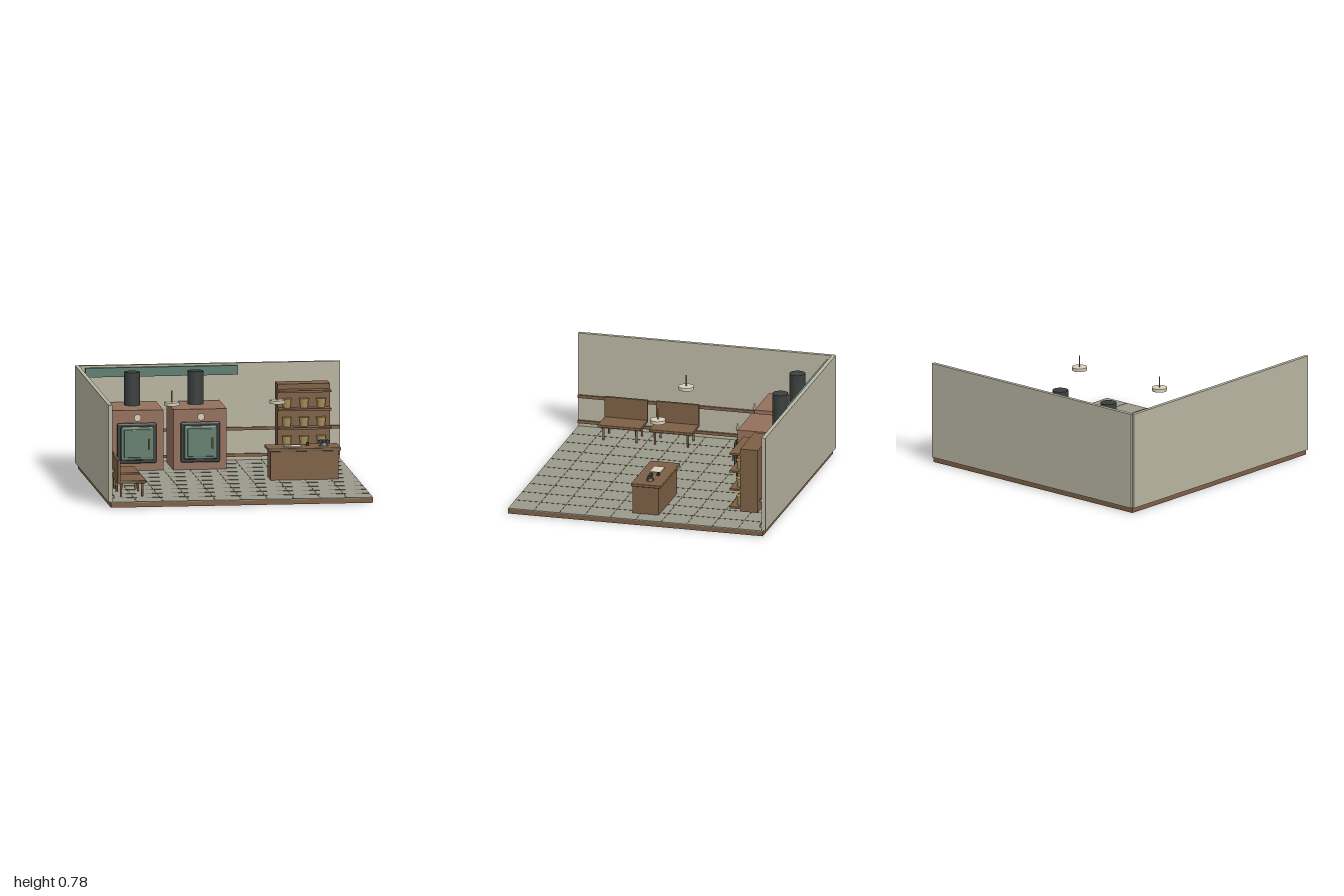
import * as THREE from 'three';
import { RoundedBoxGeometry } from 'three/addons/geometries/RoundedBoxGeometry.js';

const mat = (color) => new THREE.MeshStandardMaterial({ color });
const M = {
  wall: mat(0xb9b5a2), floor: mat(0x9a9b8c), wood: mat(0x7d5f45), grout: mat(0x6f5f4c),
  brick: mat(0x93705c), iron: mat(0x3a3f3d), green: mat(0x64806f), sign: mat(0x5f7f72),
  brass: mat(0xa88f58), cream: mat(0xd9d0b8), black: mat(0x25282a),
};

function add(parent, name, geometry, material, x = 0, y = 0, z = 0) {
  const mesh = new THREE.Mesh(geometry, material);
  mesh.name = name;
  mesh.position.set(x, y, z);
  parent.add(mesh);
  return mesh;
}

// Box given by its limits on each axis
function box(parent, name, material, [x0, x1], [y0, y1], [z0, z1], radius = 0) {
  const w = x1 - x0, h = y1 - y0, d = z1 - z0;
  const g = radius ? new RoundedBoxGeometry(w, h, d, 2, radius) : new THREE.BoxGeometry(w, h, d);
  return add(parent, name, g, material, (x0 + x1) / 2, (y0 + y1) / 2, (z0 + z1) / 2);
}

// Upright cylinder from y0 to y1
function cyl(parent, name, material, rTop, rBottom, [y0, y1], x, z, sides = 24) {
  return add(parent, name, new THREE.CylinderGeometry(rTop, rBottom, y1 - y0, sides), material, x, (y0 + y1) / 2, z);
}

function group(parent, name, x = 0, y = 0, z = 0) {
  const g = new THREE.Group();
  g.name = name;
  g.position.set(x, y, z);
  parent.add(g);
  return g;
}

function buildRoom(root) {
  const room = group(root, 'room');
  box(room, 'base', M.wood, [-0.98, 1], [0, 0.036], [-0.98, 1]);
  box(room, 'floor', M.floor, [-0.98, 1], [0.036, 0.042], [-0.98, 1]);
  // Tile joints
  for (let i = -4; i <= 4; i++) {
    const c = 0.01 + i * 0.198;
    box(room, 'tileJoint', M.grout, [c - 0.003, c + 0.003], [0.04, 0.0435], [-0.97, 1]);
    box(room, 'tileJoint', M.grout, [-0.97, 1], [0.04, 0.0435], [c - 0.003, c + 0.003]);
  }
  box(room, 'backWall', M.wall, [-0.985, 1], [0.042, 0.778], [-1, -0.97]);
  box(room, 'leftWall', M.wall, [-1, -0.97], [0.042, 0.778], [-0.985, 1]);
  // Wall rails
  for (const y of [0.068, 0.268]) {
    box(room, 'backRail', M.wood, [-0.97, 1], [y, y + 0.023], [-0.97, -0.955]);
    box(room, 'leftRail', M.wood, [-0.97, -0.955], [y, y + 0.023], [-0.97, 1]);
  }
  box(room, 'signBoard', M.sign, [-0.925, 0.225], [0.692, 0.762], [-0.97, -0.945]);
}

function buildOven(root, x) {
  const oven = group(root, 'oven', x);
  box(oven, 'ovenBody', M.brick, [-0.202, 0.202], [0.042, 0.5], [-0.95, -0.533]);
  cyl(oven, 'chimney', M.iron, 0.06, 0.06, [0.5, 0.75], 0, -0.81);
  box(oven, 'doorFrame', M.iron, [-0.148, 0.148], [0.1, 0.405], [-0.535, -0.504], 0.012);
  box(oven, 'doorRim', M.iron, [-0.125, 0.125], [0.125, 0.382], [-0.51, -0.492], 0.008);
  box(oven, 'door', M.green, [-0.12, 0.12], [0.13, 0.377], [-0.5, -0.483], 0.008);
  box(oven, 'doorPanel', M.green, [-0.1, 0.1], [0.147, 0.36], [-0.49, -0.476], 0.006);
  // Handle with two posts
  box(oven, 'doorHandle', M.brass, [0.08, 0.092], [0.21, 0.292], [-0.468, -0.456], 0.005);
  for (const y of [0.225, 0.277]) box(oven, 'handlePost', M.brass, [0.082, 0.09], [y - 0.004, y + 0.004], [-0.478, -0.46]);
  const gauge = cyl(oven, 'gauge', M.cream, 0.027, 0.027, [-0.005, 0.005], 0, -0.475);
  gauge.position.y = 0.45;
  gauge.rotation.x = Math.PI / 2;
}

function buildShelf(root) {
  const shelf = group(root, 'shelfUnit', 0.702);
  box(shelf, 'shelfCase', M.wood, [-0.198, 0.198], [0.145, 0.64], [-0.913, -0.777]);
  for (const y of [0.163, 0.305, 0.447, 0.585]) box(shelf, 'shelfBoard', M.wood, [-0.198, 0.198], [y, y + 0.015], [-0.8, -0.693]);
  // Tins on the three lower boards
  for (const y of [0.178, 0.32, 0.462])
    for (const x of [-0.13, 0, 0.13]) {
      cyl(shelf, 'tin', M.brass, 0.034, 0.029, [y, y + 0.064], x, -0.765, 20);
      cyl(shelf, 'tinRim', M.brass, 0.037, 0.037, [y + 0.062, y + 0.07], x, -0.765, 20);
    }
}

function buildCounter(root) {
  const counter = group(root, 'counter');
  box(counter, 'counterBody', M.wood, [0.345, 0.857], [0.042, 0.258], [-0.131, 0.072]);
  box(counter, 'counterTop', M.wood, [0.326, 0.877], [0.258, 0.281], [-0.15, 0.081], 0.005);
  box(counter, 'paper', M.cream, [0.458, 0.585], [0.281, 0.287], [-0.07, 0.014]);
  cyl(counter, 'inkPot', M.black, 0.01, 0.013, [0.281, 0.303], 0.64, -0.068, 16);
  // Telephone: tapered base, cradle and handset
  const phone = group(counter, 'telephone', 0.76, 0.281, -0.038);
  const base = cyl(phone, 'telephoneBase', M.iron, 0.022, 0.036, [0, 0.024], 0, 0, 20);
  base.scale.z = 0.8;
  cyl(phone, 'cradle', M.iron, 0.012, 0.012, [0.02, 0.04], 0, 0, 12);
  const bar = add(phone, 'handset', new THREE.CapsuleGeometry(0.008, 0.05, 4, 12), M.iron, 0, 0.042, 0);
  bar.rotation.z = Math.PI / 2;
  for (const s of [-1, 1]) cyl(phone, 'handsetEnd', M.iron, 0.012, 0.015, [0.024, 0.042], s * 0.03, 0, 16);
}

function buildBench(root, z) {
  const bench = group(root, 'bench', 0, 0, z);
  box(bench, 'seat', M.wood, [-0.9, -0.682], [0.145, 0.166], [-0.168, 0.168], 0.004);
  box(bench, 'backrest', M.wood, [-0.9, -0.878], [0.148, 0.325], [-0.168, 0.168], 0.004);
  for (const x of [-0.87, -0.71])
    for (const s of [-1, 1]) cyl(bench, 'benchLeg', M.wood, 0.01, 0.008, [0.042, 0.148], x, s * 0.128, 12);
}

function buildLamp(root, x) {
  const lamp = group(root, 'hangingLamp', x);
  cyl(lamp, 'lampRod', M.brass, 0.005, 0.005, [0.63, 0.725], 0, 0, 10);
  cyl(lamp, 'lampShade', M.cream, 0.058, 0.058, [0.615, 0.64], 0, 0, 32);
}

export function createModel() {
  const root = new THREE.Group();
  root.name = 'bakeryRoom';
  buildRoom(root);
  for (const x of [-0.592, -0.113]) buildOven(root, x);
  buildShelf(root);
  buildCounter(root);
  for (const z of [0.203, 0.603]) buildBench(root, z);
  for (const x of [-0.393, 0.403]) buildLamp(root, x);
  return root;
}
